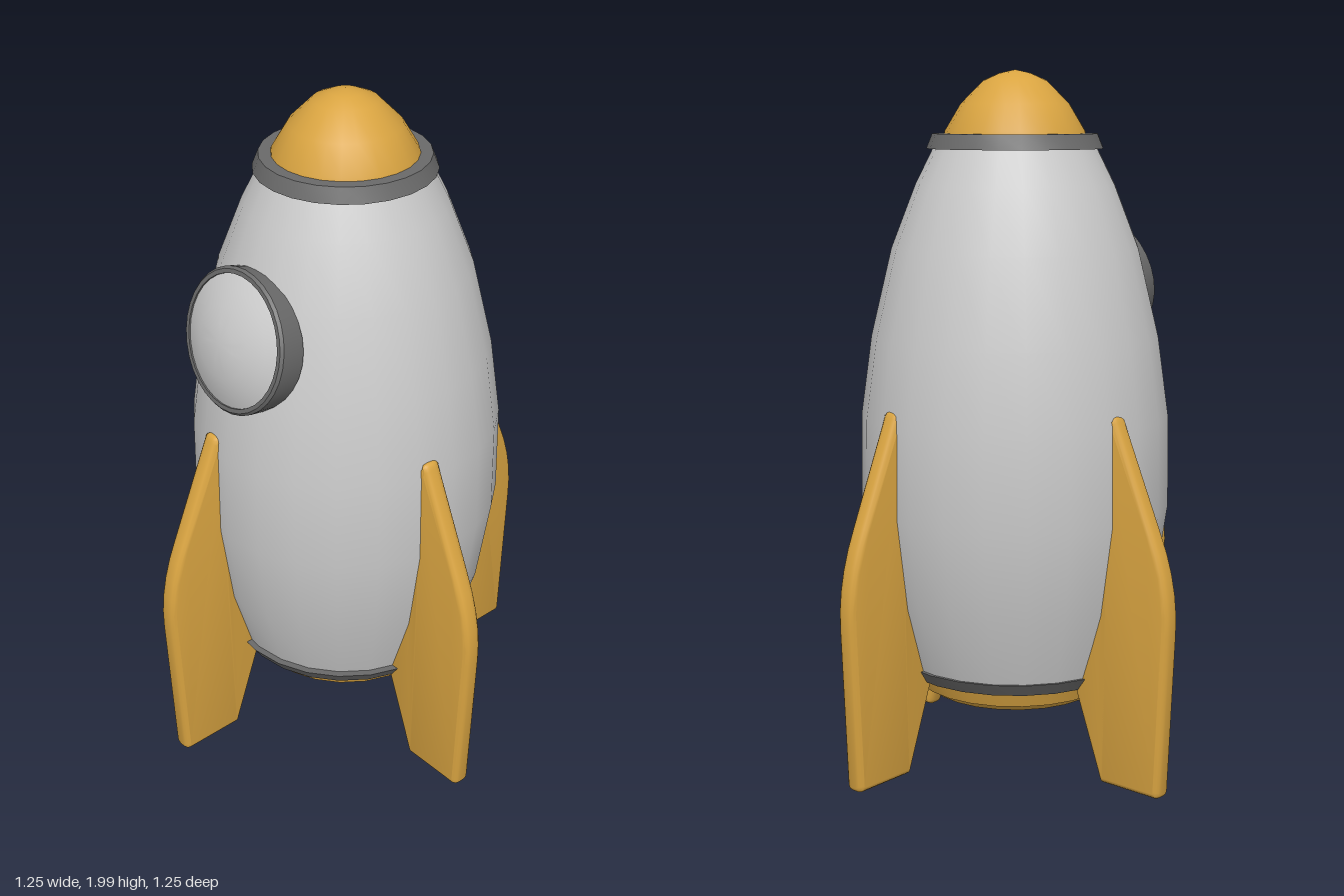
import * as THREE from 'three';
import { toCreasedNormals } from 'three/addons/utils/BufferGeometryUtils.js';

const material = (color) => new THREE.MeshStandardMaterial({ color });
const grey = material(0xcccccc);
const dark = material(0x6a6a6a);
const gold = material(0xd9a441);

const points = (list) => list.map(([x, y]) => new THREE.Vector2(x, y));

// Turned part: profile of [radius, height] running from bottom to top on the outside
const turned = (profile, sides = 24) => new THREE.LatheGeometry(points(profile), sides);

function add(parent, name, geometry, mat, crease = 0.6) {
  const mesh = new THREE.Mesh(toCreasedNormals(geometry, crease), mat);
  mesh.name = name;
  parent.add(mesh);
  return mesh;
}

// Fin outline in the x/y plane, with rounded edges; the inner edge is buried in the hull
function finGeometry() {
  const s = new THREE.Shape();
  s.moveTo(0.41, 0.01);
  s.lineTo(0.59, 0.01);
  s.quadraticCurveTo(0.605, 0.01, 0.606, 0.03);
  s.lineTo(0.627, 0.48);
  s.quadraticCurveTo(0.635, 0.62, 0.57, 0.76);
  s.lineTo(0.445, 1.05);
  s.quadraticCurveTo(0.435, 1.075, 0.42, 1.065);
  s.lineTo(0.405, 0.76);
  s.lineTo(0.37, 0.5);
  s.lineTo(0.3, 0.29);
  s.lineTo(0.395, 0.03);
  s.quadraticCurveTo(0.4, 0.01, 0.41, 0.01);
  const g = new THREE.ExtrudeGeometry(s, {
    depth: 0.018, curveSegments: 5,
    bevelThickness: 0.02, bevelSize: 0.016, bevelOffset: -0.016, bevelSegments: 3,
  });
  return g.translate(0, 0, 0.075 - 0.009);
}

export function createModel() {
  const rocket = new THREE.Group();
  rocket.name = 'rocket';

  // Hull
  const hull = add(rocket, 'hull', turned([
    [0.3, 0.27], [0.35, 0.3], [0.412, 0.5], [0.45, 0.76], [0.447, 1.02],
    [0.415, 1.25], [0.355, 1.5], [0.285, 1.68], [0.225, 1.8],
  ]), grey);
  hull.position.set(-0.005, 0, -0.005);

  // Nose cone and the collar beneath it
  add(rocket, 'noseCone', turned([
    [0.207, 1.8], [0.2, 1.83], [0.155, 1.905], [0.09, 1.97], [0.045, 1.99], [0, 2],
  ]), gold, 0.9);
  add(rocket, 'noseCollar', turned([
    [0.2, 1.78], [0.253, 1.78], [0.236, 1.822], [0.195, 1.822],
  ]), dark);

  // Base collar and engine nozzle
  add(rocket, 'baseCollar', turned([
    [0.28, 0.268], [0.342, 0.268], [0.366, 0.305], [0.32, 0.305],
  ]), dark);
  add(rocket, 'nozzle', turned([
    [0, 0.195], [0.255, 0.195], [0.275, 0.218], [0.292, 0.218], [0.312, 0.275],
  ]), gold);

  // Porthole, leaning back with the slope of the hull
  const porthole = new THREE.Group();
  porthole.name = 'porthole';
  porthole.position.set(0, 1.39, 0.408);
  porthole.rotation.x = -0.235;
  const frame = turned([
    [0.18, -0.05], [0.2, -0.05], [0.203, -0.008], [0.196, 0], [0.184, 0], [0.18, -0.05],
  ], 32);
  const p = frame.attributes.position;
  for (let i = 0; i < p.count; i++) {
    // The rear edge wraps around the hull
    if (p.getY(i) < -0.02) p.setY(i, p.getY(i) - 0.03 * (p.getX(i) / 0.2) ** 2);
  }
  add(porthole, 'portholeFrame', frame.rotateX(Math.PI / 2), dark);
  const glass = turned([
    [0.186, -0.006], [0.15, 0.012], [0.1, 0.03], [0.05, 0.04], [0, 0.044],
  ], 32);
  add(porthole, 'portholeGlass', glass.rotateX(Math.PI / 2), grey);
  rocket.add(porthole);

  // Four fins, each set slightly to one side of its axis
  const fin = finGeometry();
  for (let i = 0; i < 4; i++) {
    add(rocket, 'fin', fin, gold).rotation.y = (-i * Math.PI) / 2;
  }

  return rocket;
}
